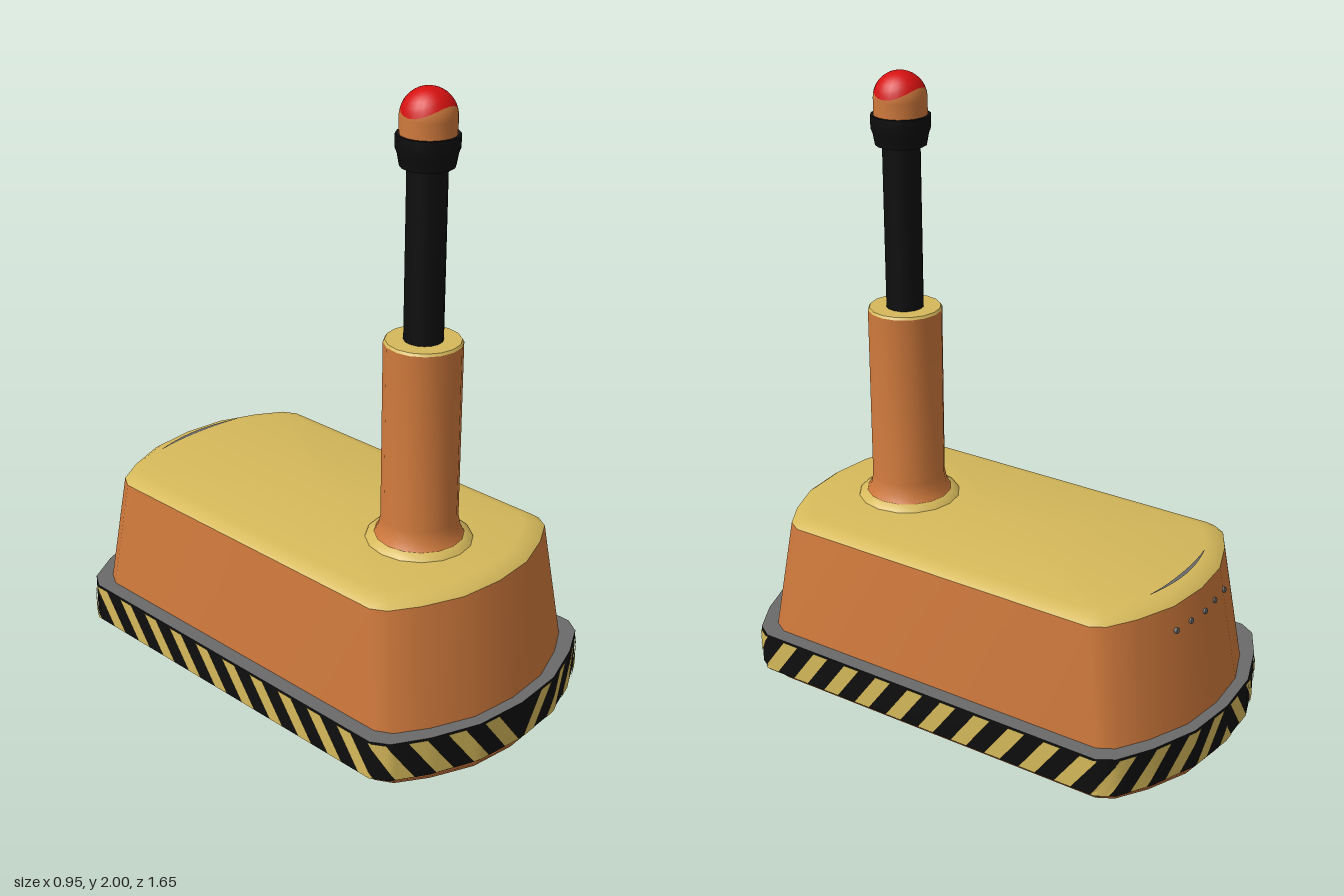
import * as THREE from 'three';
import { toCreasedNormals } from 'three/addons/utils/BufferGeometryUtils.js';

const material = (name, color) => new THREE.MeshStandardMaterial({ name, color });

// Quarter of the rounded plan outline, as fractions of half width and half length
const QUARTER = [[0, 1], [0.37, 0.98], [0.7, 0.91], [0.93, 0.835], [1, 0.77]];
const HALF = [...QUARTER, ...QUARTER.slice().reverse().map(([x, z]) => [x, -z])];
const OUTLINE = [...HALF, ...HALF.slice(1, -1).reverse().map(([x, z]) => [-x, z])];

function finish(positions, index, crease) {
  const g = new THREE.BufferGeometry();
  g.setAttribute('position', new THREE.Float32BufferAttribute(positions, 3));
  g.setIndex(index);
  return toCreasedNormals(g, crease);
}

// Stack of outlines, each level [y, halfWidth, halfLength], with optional caps
function loft(levels, { top = false, bottom = false, crease = 0.75 } = {}) {
  const n = OUTLINE.length, pos = [], idx = [];
  for (const [y, hx, hz] of levels) for (const [x, z] of OUTLINE) pos.push(x * hx, y, z * hz);
  for (let l = 0; l < levels.length - 1; l++) {
    for (let i = 0; i < n; i++) {
      const a = l * n + i, b = l * n + (i + 1) % n;
      idx.push(a, b, b + n, a, b + n, a + n);
    }
  }
  const cap = (l, up) => {
    const c = pos.length / 3;
    pos.push(0, levels[l][0], 0);
    for (let i = 0; i < n; i++) {
      const a = l * n + i, b = l * n + (i + 1) % n;
      idx.push(c, up ? a : b, up ? b : a);
    }
  };
  if (top) cap(levels.length - 1, true);
  if (bottom) cap(0, false);
  return finish(pos, idx, crease);
}

// Surface from f(u, v) -> [x, y, z]; u runs right and v up as seen from outside
function grid(f, nu, nv, crease = 0.75) {
  const pos = [], idx = [];
  for (let j = 0; j <= nv; j++) for (let i = 0; i <= nu; i++) pos.push(...f(i / nu, j / nv));
  for (let j = 0; j < nv; j++) {
    for (let i = 0; i < nu; i++) {
      const a = j * (nu + 1) + i, c = a + nu + 1;
      idx.push(a, a + 1, c + 1, a, c + 1, c);
    }
  }
  return finish(pos, idx, crease);
}

function lathe(points, segments = 16) {
  const g = new THREE.LatheGeometry(points.map(p => new THREE.Vector2(...p)), segments);
  g.deleteAttribute('normal');
  g.deleteAttribute('uv');
  return toCreasedNormals(g, 0.75);
}

export function createModel() {
  const orange = material('orange', 0xcf793c);
  const yellow = material('yellow', 0xd6b95b);
  const black = material('black', 0x0e0e0e);
  const grey = material('grey', 0x6a6a6a);
  const red = material('red', 0xd51010);
  const underside = material('dark brown', 0x3a2a0c);

  const model = new THREE.Group();
  const add = (name, geometry, mat, parent = model) => {
    const mesh = new THREE.Mesh(geometry, mat);
    mesh.name = name;
    parent.add(mesh);
    return mesh;
  };

  // Tapered body with a paler lid and a dark floor
  add('body', loft([[0, 0.415, 0.785], [0.02, 0.43, 0.8], [0.05, 0.433, 0.8],
    [0.18, 0.421, 0.785], [0.56, 0.39, 0.715]]), orange);
  add('lid', loft([[0.56, 0.39, 0.715], [0.575, 0.37, 0.695], [0.585, 0.335, 0.66]], { top: true }), yellow);
  add('floor', loft([[0, 0.415, 0.785]], { bottom: true }), underside);

  // Bumper band
  const bumper = new THREE.Group();
  bumper.name = 'bumper';
  model.add(bumper);
  const bx = 0.471, bz = 0.822, y0 = 0.05, y1 = 0.18;
  add('bumperSide', loft([[y0, bx, bz], [y1, bx, bz]]), black, bumper);
  add('bumperTop', loft([[y1, bx, bz], [y1, 0.4, 0.76]]), grey, bumper);
  add('bumperBottom', loft([[y0, 0.41, 0.77], [y0, bx, bz]]), grey, bumper);

  // Slanted warning stripes wrapped around each half, leaning away from the front
  const path = new THREE.CurvePath();
  const track = HALF.map(([x, z]) => new THREE.Vector2(x * (bx + 0.004), z * (bz + 0.004)));
  for (let i = 0; i < track.length - 1; i++) path.add(new THREE.LineCurve(track[i], track[i + 1]));
  const length = path.getLength();
  const period = 0.127, width = 0.06, slant = 0.09;
  for (const side of [1, -1]) {
    for (let start = 0.01; start < length; start += period) {
      const stripe = grid((u, v) => {
        const across = side > 0 ? u : 1 - u;
        const s = Math.min(start + across * width + v * slant, length);
        const p = path.getPoint(s / length);
        return [side * p.x, y0 + 0.004 + v * (y1 - y0 - 0.008), p.y];
      }, 4, 6);
      add('warningStripe', stripe, yellow, bumper);
    }
  }

  // Row of small vents on the back wall and a thin slot on the lid
  for (let i = -2; i <= 2; i++) {
    const x = i * 0.075;
    const vent = add('vent', new THREE.CylinderGeometry(0.009, 0.009, 0.012, 10), grey);
    vent.position.set(x, 0.485, -0.729 + Math.abs(x) * 0.1);
    vent.rotation.x = -Math.PI / 2 + 0.18;
  }
  add('lidSlot', grid((u, v) => {
    const x = (u - 0.5) * 0.34;
    const half = 0.001 + 0.006 * Math.sin(Math.PI * u);
    return [x, 0.589, -0.651 + 0.7 * x * x - (v * 2 - 1) * half];
  }, 12, 1), grey);

  // Telescopic mast near the front
  const mast = new THREE.Group();
  mast.name = 'mast';
  mast.position.z = 0.39;
  model.add(mast);
  add('mastFlange', lathe([[0.17, 0.58], [0.165, 0.59], [0.14, 0.602]]), yellow, mast);
  add('mastSleeve', lathe([[0.14, 0.602], [0.127, 0.625], [0.12, 0.66], [0.12, 1.235]]), orange, mast);
  add('sleeveRim', lathe([[0.12, 1.235], [0.115, 1.243], [0.058, 1.243]]), yellow, mast);
  add('pole', lathe([[0.06, 1.23], [0.06, 1.79]]), black, mast);
  add('lampSocket', lathe([[0.055, 1.772], [0.081, 1.772], [0.088, 1.81], [0.094, 1.825],
    [0.094, 1.866], [0.08, 1.866]]), black, mast);

  // Lamp dome: the red cap meets the orange base along a line that rises at front and back
  const R = 0.084, centre = 1.916;
  const edge = t => 0.08 + 0.4 * Math.abs(Math.cos(t)) ** 2;
  const dome = (t, e) => [R * Math.cos(e) * Math.sin(t), centre + R * Math.sin(e), R * Math.cos(e) * Math.cos(t)];
  add('lampBase', lathe([[R, 1.86], [R, centre]], 24), orange, mast);
  add('lampLower', grid((u, v) => dome(u * Math.PI * 2, v * edge(u * Math.PI * 2)), 24, 4), orange, mast);
  add('lampCap', grid((u, v) => {
    const t = u * Math.PI * 2, e = edge(t);
    return dome(t, e + v * (Math.PI / 2 - e));
  }, 24, 8), red, mast);

  return model;
}
